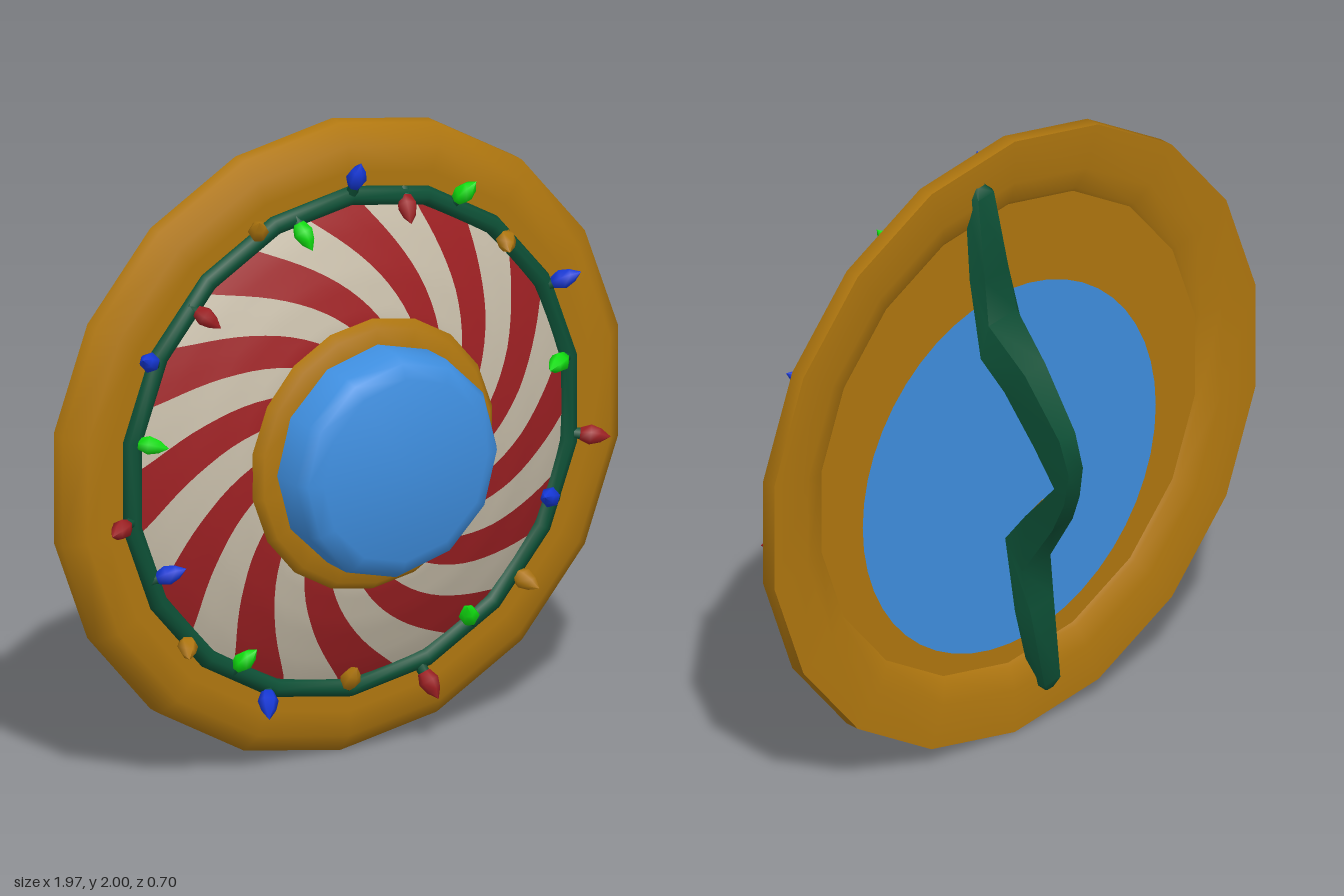
import * as THREE from 'three';
import { mergeGeometries, mergeVertices, toCreasedNormals } from 'three/addons/utils/BufferGeometryUtils.js';

const mat = (name, color) => {
  const m = new THREE.MeshStandardMaterial({ color });
  m.name = name;
  return m;
};

// surface from rows of [x, y, z] points; closed joins the last column to the first
function loft(rows, closed) {
  const n = rows[0].length, pos = rows.flat(2), idx = [];
  for (let i = 0; i < rows.length - 1; i++) {
    for (let j = 0; j < (closed ? n : n - 1); j++) {
      const k = (j + 1) % n, a = i * n + j, b = i * n + k, c = a + n, d = b + n;
      idx.push(a, b, c, b, d, c);
    }
  }
  const g = new THREE.BufferGeometry();
  g.setAttribute('position', new THREE.Float32BufferAttribute(pos, 3));
  g.setIndex(idx);
  g.computeVertexNormals();
  return g;
}

// turned part around the z axis from [radius, z] points
function turned(points, sides, crease) {
  const g = new THREE.LatheGeometry(points.map(p => new THREE.Vector2(...p)), sides);
  g.rotateX(Math.PI / 2);
  g.deleteAttribute('uv');
  g.deleteAttribute('normal');
  return toCreasedNormals(mergeVertices(g), crease);
}

// height of the dome at radius r
const PROFILE = [[0.42, 0.15], [0.56, 0.11], [0.7, 0.055], [0.78, 0.015]];
function domeZ(r) {
  if (r <= PROFILE[0][0]) return PROFILE[0][1];
  for (let i = 1; i < PROFILE.length; i++) {
    const [r0, z0] = PROFILE[i - 1], [r1, z1] = PROFILE[i];
    if (r <= r1) return z0 + (z1 - z0) * (r - r0) / (r1 - r0);
  }
  return PROFILE[PROFILE.length - 1][1];
}

export function createModel() {
  const model = new THREE.Group();
  const shield = new THREE.Group();
  shield.name = 'shield';
  shield.position.y = 1;
  model.add(shield);

  const gold = mat('gold', 0xb0770f), green = mat('dark green', 0x0d5036);
  const blue = mat('sky blue', 0x3f8fe0), red = mat('red', 0x9e2023), cream = mat('cream', 0xc7bda9);
  const bulbGreen = mat('bulb green', 0x10e010), bulbBlue = mat('bulb blue', 0x1538d8);
  const add = (name, geometry, material, parent = shield) => {
    const m = new THREE.Mesh(geometry, material);
    m.name = name;
    parent.add(m);
    return m;
  };

  // rim, hub ring and boss
  add('rim', turned([[0.77, -0.045], [0.79, -0.06], [0.86, -0.08], [1, -0.08],
    [1, -0.03], [0.94, 0.02], [0.86, 0.02], [0.74, 0.02]], 18, 1.0), gold);
  add('hubRing', turned([[0.42, 0.13], [0.43, 0.155], [0.405, 0.18], [0.33, 0.182]], 18, 1.2), gold);
  add('boss', turned([[0.355, 0.15], [0.355, 0.29], [0.335, 0.325], [0.29, 0.345], [0, 0.35]], 12, 0.9), blue);

  // swirled stripes on the dome
  const stripes = 24, step = Math.PI * 2 / stripes, parts = [[], []];
  for (let s = 0; s < stripes; s++) {
    const rows = [];
    for (let j = 0; j <= 12; j++) {
      const t = j / 12, r = 0.77 - 0.37 * t, row = [];
      for (let i = 0; i <= 3; i++) {
        const a = 1.66 + (s - 0.5 + i / 3) * step - 0.6 * t ** 1.2;
        row.push([r * Math.cos(a), r * Math.sin(a), domeZ(r)]);
      }
      rows.push(row);
    }
    parts[s % 2].push(loft(rows, false));
  }
  add('redStripes', mergeGeometries(parts[0]), red);
  add('creamStripes', mergeGeometries(parts[1]), cream);

  // flat back with a low-set blue disc
  const backPanel = add('backPanel', new THREE.CircleGeometry(0.785, 36), gold);
  backPanel.rotation.y = Math.PI;
  backPanel.position.z = -0.05;
  const backDisc = add('backDisc', new THREE.CircleGeometry(0.6, 48), blue);
  backDisc.rotation.y = Math.PI;
  backDisc.position.set(0, -0.11, -0.055);

  // garland around the dome
  const ring = new THREE.TorusGeometry(0.783, 0.031, 8, 18);
  ring.rotateZ(Math.PI / 2);
  add('garland', ring, green).position.z = 0.022;

  // tilted back handle: outer y, outer z, inner y, inner z, half width
  const handle = new THREE.Group();
  handle.name = 'handle';
  handle.rotation.z = -0.155;
  shield.add(handle);
  const sections = [
    [0.91, -0.085, 0.91, -0.075, 0.02], [0.88, -0.1, 0.88, -0.06, 0.05], [0.6, -0.1, 0.6, -0.06, 0.075],
    [0.44, -0.1, 0.33, -0.08, 0.09], [0.3, -0.22, 0.22, -0.14, 0.065], [0.1, -0.33, 0.05, -0.225, 0.05],
    [-0.02, -0.348, -0.08, -0.29, 0.045], [-0.14, -0.31, -0.15, -0.225, 0.05],
    [-0.25, -0.25, -0.22, -0.16, 0.065], [-0.45, -0.1, -0.32, -0.08, 0.09],
    [-0.6, -0.1, -0.6, -0.06, 0.075], [-0.88, -0.1, -0.88, -0.06, 0.05], [-0.91, -0.085, -0.91, -0.075, 0.02],
  ];
  const strap = loft(sections.map(([yo, zo, yi, zi, w]) =>
    [[-w * 0.65, yo, zo], [w * 0.65, yo, zo], [w, yi, zi], [-w, yi, zi]]), true);
  add('strap', toCreasedNormals(strap, 0.9), green, handle);

  // coloured plates on the inside of the strap
  const plate = (name, y0, z0, y1, z1, width, material) => {
    const p = add(name, new THREE.BoxGeometry(width, 0.009, Math.hypot(y1 - y0, z1 - z0)), material, handle);
    p.position.set(0, (y0 + y1) / 2, (z0 + z1) / 2);
    p.rotation.x = Math.atan2(y0 - y1, z1 - z0);
  };
  plate('upperPad', 0.27, -0.113, 0.23, -0.135, 0.09, bulbBlue);
  plate('upperLining', 0.21, -0.145, 0.06, -0.22, 0.085, gold);
  plate('lowerLining', -0.155, -0.22, -0.215, -0.165, 0.08, gold);
  plate('lowerPad', -0.23, -0.152, -0.29, -0.104, 0.09, blue);

  // string of bulbs, each leaning outwards from the garland
  const bulbs = [
    [bulbBlue, [[0, 0.86], [-0.74, 0.4], [0.74, 0.4], [-0.66, -0.29], [0.68, -0.29], [-0.315, -0.77]]],
    [bulbGreen, [[-0.185, 0.7], [0.385, 0.74], [-0.725, 0.13], [0.71, 0.13], [-0.395, -0.61], [0.395, -0.61]]],
    [red, [[0.18, 0.72], [-0.53, 0.5], [-0.84, -0.12], [0.84, -0.12], [0.26, -0.81]]],
    [gold, [[-0.35, 0.75], [0.53, 0.55], [-0.6, -0.54], [0.6, -0.54], [-0.02, -0.735]]],
  ];
  const bulbShape = new THREE.LatheGeometry([[0, -0.05], [0.02, -0.043], [0.032, -0.012], [0.022, 0.02], [0, 0.05]]
    .map(p => new THREE.Vector2(...p)), 6);
  const socketShape = new THREE.CylinderGeometry(0.018, 0.018, 0.03, 6);
  const up = new THREE.Vector3(0, 1, 0);
  for (const [material, spots] of bulbs) {
    for (const [x, y] of spots) {
      const centre = new THREE.Vector3(x, y, 0.067);
      const base = new THREE.Vector3(x, y, 0).setLength(0.783).setZ(0.03);
      const dir = centre.clone().sub(base).normalize();
      const bulb = add('bulb', bulbShape, material);
      bulb.quaternion.setFromUnitVectors(up, dir);
      bulb.position.copy(centre);
      const socket = add('bulbSocket', socketShape, green);
      socket.quaternion.copy(bulb.quaternion);
      socket.position.copy(centre).addScaledVector(dir, -0.056);
    }
  }
  return model;
}
